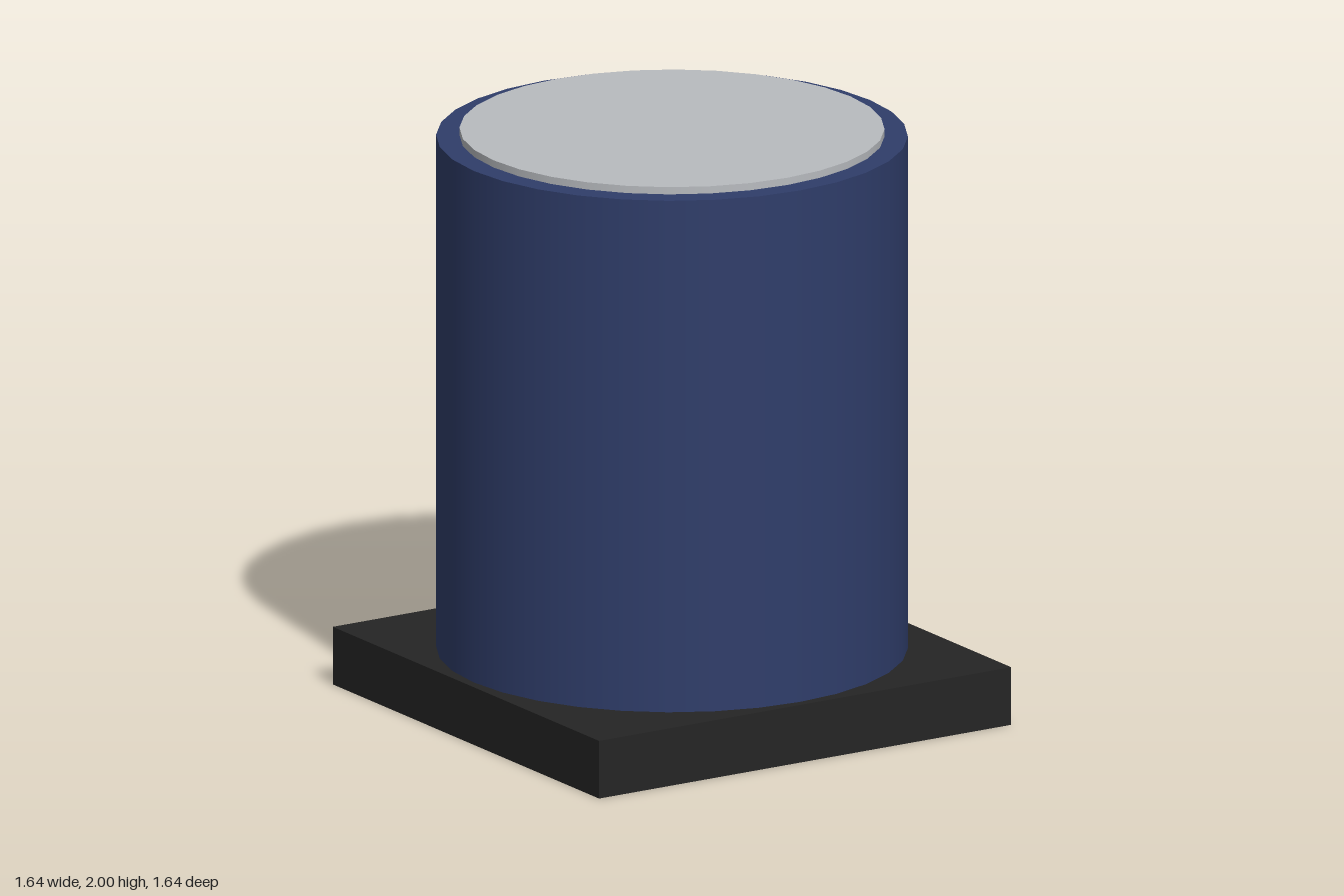
import * as THREE from 'three';

const mat = (name, color) => {
  const m = new THREE.MeshStandardMaterial({ color });
  m.name = name;
  return m;
};

export function createModel() {
  const group = new THREE.Group();
  group.name = 'canCapacitor';
  const black = mat('black plastic', 0x242424);
  const blue = mat('blue sleeve', 0x2f3d6a);
  const silver = mat('silver metal', 0xb8bbbf);

  // Adds a part whose underside sits at the given height
  const add = (name, geometry, material, bottom, height, z = 0) => {
    const mesh = new THREE.Mesh(geometry, material);
    mesh.name = name;
    mesh.position.set(0, bottom + height / 2, z);
    group.add(mesh);
  };
  const disc = (r, h) => new THREE.CylinderGeometry(r, r, h, 32);

  // Square plinth
  add('base', new THREE.BoxGeometry(1.636, 0.2, 1.636), black, 0, 0.2);
  // Sleeved can, set into the base
  add('canBody', disc(0.787, 1.875), blue, 0.1, 1.875);
  // Raised metal lid
  add('topLid', disc(0.709, 0.1), silver, 1.9, 0.1);
  // Upright polarity stripe on the back
  add('polarityStripe', new THREE.BoxGeometry(0.31, 1.74, 0.034), silver, 0.17, 1.74, -0.79);

  return group;
}
